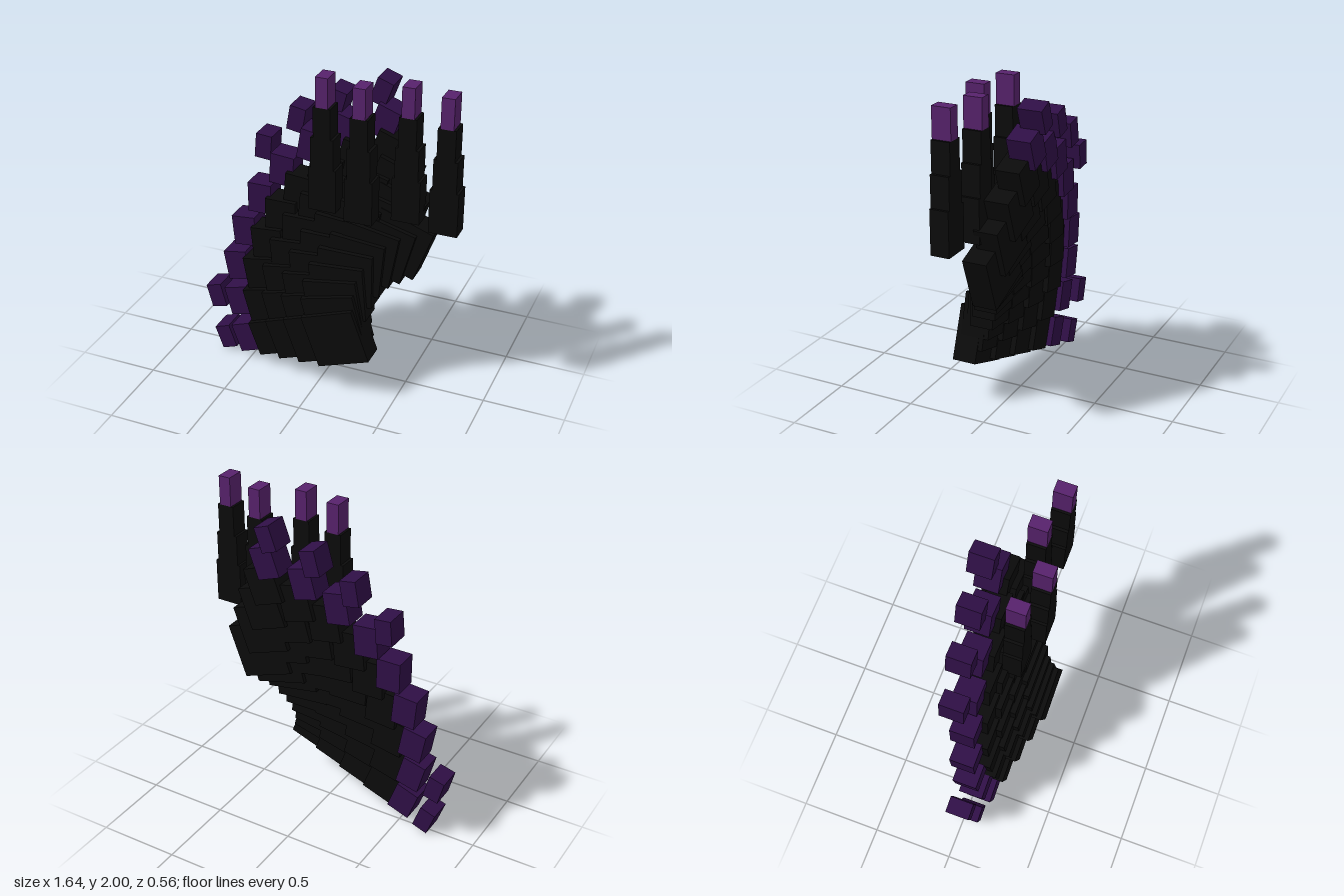
import * as THREE from 'three';

export function createModel() {
  const black = new THREE.MeshStandardMaterial({ name: 'black', color: 0x0b0b0b });
  const darkPurple = new THREE.MeshStandardMaterial({ name: 'dark purple', color: 0x2f0f46 });
  const lightPurple = new THREE.MeshStandardMaterial({ name: 'light purple', color: 0x57226c });

  const model = new THREE.Group();
  model.name = 'featheredWing';

  function box(parent, name, w, h, d, x, y, z, material) {
    const mesh = new THREE.Mesh(new THREE.BoxGeometry(w, h, d), material);
    mesh.name = name;
    mesh.position.set(x, y, z);
    parent.add(mesh);
    return mesh;
  }

  // Fan of feathers: root points run up the wing, each feather turns a little further
  const roots = [
    [0.138, 0.394], [0.113, 0.488], [0.101, 0.577], [0.117, 0.668], [0.152, 0.759],
    [0.201, 0.838], [0.266, 0.912], [0.343, 0.952], [0.432, 0.99],
  ];
  const step = 0.175;
  roots.forEach(([rx, ry], i) => {
    const feather = new THREE.Group();
    feather.name = 'feather' + (i + 1);
    const dir = THREE.MathUtils.degToRad(200 - 12.25 * i);
    const tilt = THREE.MathUtils.degToRad(20 - 5 * i);
    // The three middle feathers lack the small end block
    const count = i >= 2 && i <= 4 ? 5 : 6;
    for (let j = 0; j < count; j++) {
      const block = box(
        feather, j < 4 ? 'featherBlock' : 'featherTip',
        0.342 - 0.048 * j, 0.342 - 0.0375 * j, 0.15,
        rx + Math.cos(dir) * step * j, ry + Math.sin(dir) * step * j,
        0.205 - 0.035 * j - 0.03 * i,
        j < 4 ? black : darkPurple,
      );
      block.rotation.z = tilt;
    }
    model.add(feather);
  });

  // Upright spikes, narrowing in steps to a light tip: [x, z]
  const spikes = [[0, 0.083], [0.247, 0.143], [0.49, 0.027], [0.733, 0.083]];
  // Each level: [bottom, top, width]
  const levels = [[1.17, 1.44, 0.17], [1.44, 1.63, 0.14], [1.63, 1.817, 0.106], [1.817, 2, 0.076]];
  spikes.forEach(([x, z], i) => {
    const spike = new THREE.Group();
    spike.name = 'spike' + (i + 1);
    levels.forEach(([y0, y1, w], k) => {
      const tip = k === 3;
      box(spike, tip ? 'spikeTip' : 'spikeBlock', w, y1 - y0, 0.115, x, (y0 + y1) / 2, z, tip ? lightPurple : black);
    });
    model.add(spike);
  });

  return model;
}
